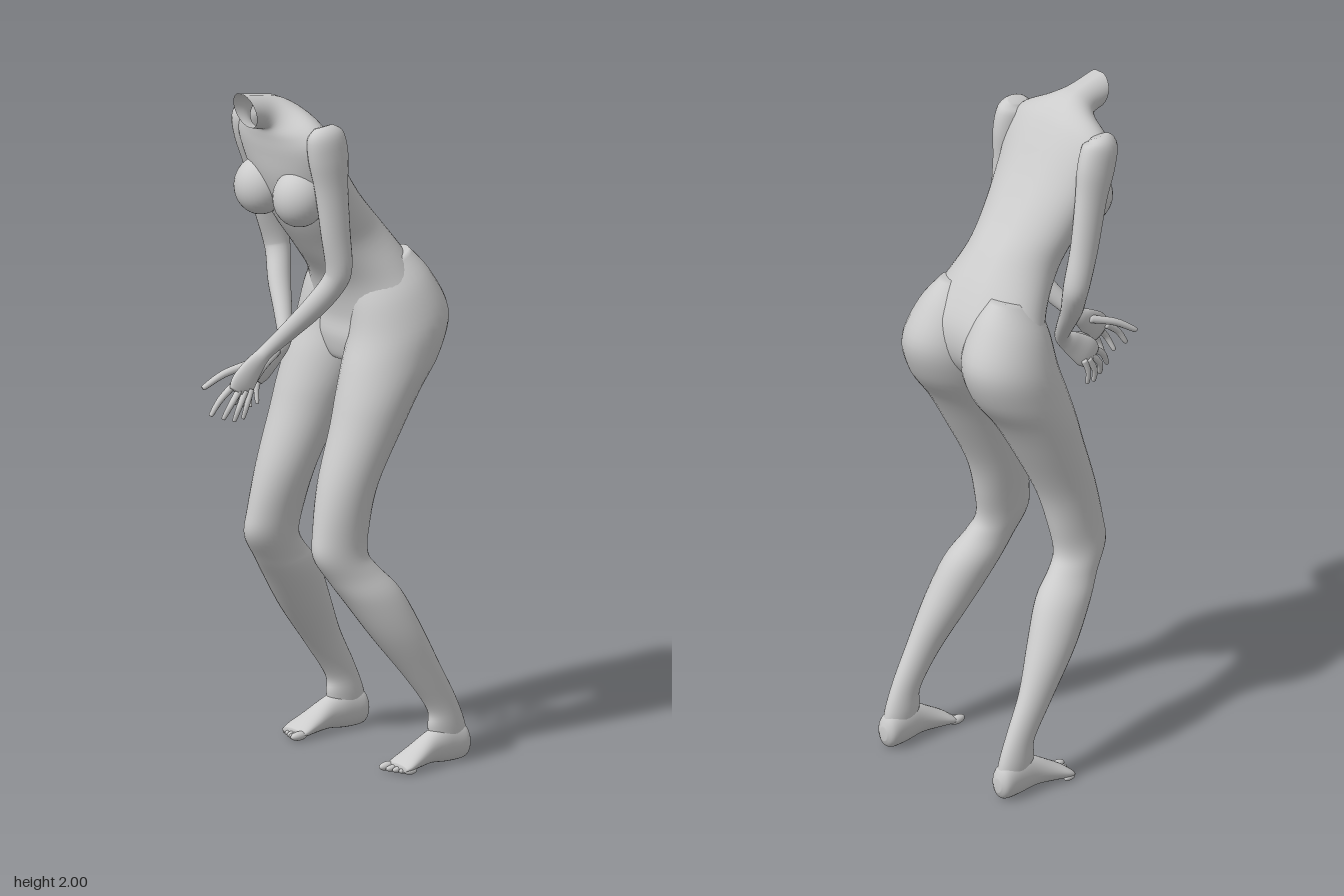
import * as THREE from 'three';

const material = new THREE.MeshStandardMaterial({ color: 0xcccccc, side: THREE.DoubleSide });
const SIDES = 32;

// Catmull-Rom interpolation of every column of a table of sections
function refine(rows, steps) {
  const out = [], n = rows.length;
  for (let i = 0; i < n - 1; i++) {
    const [a, b, c, d] = [rows[Math.max(i - 1, 0)], rows[i], rows[i + 1], rows[Math.min(i + 2, n - 1)]];
    for (let s = 0; s < steps; s++) {
      const t = s / steps;
      out.push(b.map((v, k) => v + 0.5 * t * (c[k] - a[k]
        + t * (2 * a[k] - 5 * v + 4 * c[k] - d[k] + t * (3 * (v - c[k]) + d[k] - a[k])))));
    }
  }
  out.push(rows[n - 1]);
  return out;
}

// Smooth surface through elliptical rings { c, u, v }; groove pulls in the middle of the back
function skin(name, rings, { capStart = true, groove = 0, sides = SIDES } = {}) {
  const pos = [], index = [];
  for (const { c, u, v } of rings) {
    for (let j = 0; j < sides; j++) {
      const a = (j / sides) * Math.PI * 2, cs = Math.cos(a);
      const sn = Math.sin(a) * (Math.sin(a) < 0 ? 1 - groove * Math.exp(-((cs / 0.2) ** 2)) : 1);
      pos.push(...c.clone().addScaledVector(u, cs).addScaledVector(v, sn).toArray());
    }
  }
  for (let i = 0; i < rings.length - 1; i++) {
    for (let j = 0; j < sides; j++) {
      const k = (j + 1) % sides, p = i * sides, q = p + sides;
      index.push(p + j, p + k, q + j, p + k, q + k, q + j);
    }
  }
  const last = (rings.length - 1) * sides, pole = rings.length * sides;
  pos.push(...rings[0].c.toArray(), ...rings.at(-1).c.toArray());
  for (let j = 0; j < sides; j++) {
    const k = (j + 1) % sides;
    if (capStart) index.push(pole, k, j);
    index.push(pole + 1, last + j, last + k);
  }
  const g = new THREE.BufferGeometry();
  g.setAttribute('position', new THREE.Float32BufferAttribute(pos, 3));
  g.setIndex(index);
  g.computeVertexNormals();
  const mesh = new THREE.Mesh(g, material);
  mesh.name = name;
  return mesh;
}

// Sections as [centre x, half width, front y, front z, back y, back z]
function loft(name, rows, side = 1, options) {
  return skin(name, refine(rows, 5).map(([x, w, fy, fz, by, bz]) => ({
    c: new THREE.Vector3(x * side, (fy + by) / 2, (fz + bz) / 2),
    u: new THREE.Vector3(w, 0, 0),
    v: new THREE.Vector3(0, (fy - by) / 2, (fz - bz) / 2),
  })), options);
}

// Sections as [x, y, z, half width, half depth], rings square to the path
function limb(name, rows, side, sides = 24) {
  const pts = refine(rows.map(([x, y, z, a, b]) => [x * side, y, z + armShift(y, side), a, b]), 5);
  const at = (i) => new THREE.Vector3(...pts[Math.min(Math.max(i, 0), pts.length - 1)].slice(0, 3));
  return skin(name, pts.map((p, i) => {
    const t = at(i + 1).sub(at(i - 1)).normalize();
    const u = new THREE.Vector3(1, 0, 0).addScaledVector(t, -t.x).normalize();
    const v = t.clone().cross(u);
    return { c: at(i), u: u.multiplyScalar(p[3]), v: v.multiplyScalar(p[4]) };
  }), { sides });
}

// The right arm hangs further back than the left
function armShift(y, side) {
  return side > 0 ? 0 : -0.13 * THREE.MathUtils.clamp((1.88 - y) / 0.65, 0, 1);
}

const TORSO = [
  [0, 0.05, 1.895, 0.215, 2.0, 0.245],
  [0, 0.052, 1.888, 0.19, 1.985, 0.16],
  [0, 0.08, 1.885, 0.175, 1.97, 0.105],
  [0, 0.15, 1.86, 0.168, 1.935, 0.055],
  [0, 0.185, 1.81, 0.16, 1.885, 0.015],
  [0, 0.172, 1.72, 0.14, 1.77, -0.058],
  [0, 0.152, 1.6, 0.085, 1.66, -0.14],
  [0, 0.142, 1.5, 0.015, 1.58, -0.21],
  [0, 0.175, 1.4, -0.06, 1.48, -0.285],
  [0, 0.214, 1.3, -0.088, 1.38, -0.335],
  [0, 0.215, 1.23, -0.085, 1.28, -0.325],
  [0, 0.12, 1.17, -0.1, 1.19, -0.25],
  [0, 0.04, 1.16, -0.13, 1.17, -0.2],
];

const LEG = [
  [0.1, 0.05, 1.45, -0.12, 1.49, -0.27],
  [0.106, 0.1, 1.36, -0.095, 1.42, -0.33],
  [0.118, 0.122, 1.26, -0.078, 1.31, -0.38],
  [0.124, 0.121, 1.17, -0.045, 1.2, -0.348],
  [0.131, 0.11, 1.08, -0.015, 1.1, -0.272],
  [0.135, 0.097, 1.0, 0.01, 1.0, -0.21],
  [0.138, 0.077, 0.85, 0.063, 0.84, -0.122],
  [0.147, 0.061, 0.72, 0.094, 0.72, -0.088],
  [0.155, 0.056, 0.645, 0.1, 0.645, -0.078],
  [0.167, 0.057, 0.57, 0.053, 0.6, -0.105],
  [0.183, 0.068, 0.5, 0.003, 0.53, -0.168],
  [0.205, 0.061, 0.39, -0.075, 0.42, -0.225],
  [0.223, 0.041, 0.257, -0.18, 0.3, -0.282],
  [0.228, 0.033, 0.16, -0.248, 0.19, -0.34],
  [0.228, 0.034, 0.11, -0.25, 0.1, -0.376],
  [0.228, 0.03, 0.05, -0.26, 0.04, -0.378],
];

// Heel to ball of the foot: front and back columns hold the top and the sole
const FOOT = [
  [0.228, 0.014, 0.07, -0.387, 0.03, -0.387],
  [0.228, 0.034, 0.105, -0.368, 0.005, -0.368],
  [0.228, 0.037, 0.12, -0.31, 0.002, -0.31],
  [0.23, 0.037, 0.1, -0.25, 0.008, -0.25],
  [0.233, 0.045, 0.066, -0.19, 0.004, -0.19],
  [0.235, 0.05, 0.042, -0.15, 0.002, -0.15],
  [0.235, 0.045, 0.026, -0.128, 0.004, -0.128],
];

const ARM = [
  [0.163, 1.91, 0.08, 0.018, 0.03],
  [0.17, 1.885, 0.078, 0.04, 0.058],
  [0.174, 1.82, 0.07, 0.043, 0.064],
  [0.179, 1.73, 0.063, 0.037, 0.053],
  [0.188, 1.6, 0.055, 0.034, 0.046],
  [0.19, 1.5, 0.045, 0.036, 0.04],
  [0.178, 1.45, 0.055, 0.034, 0.037],
  [0.14, 1.38, 0.095, 0.03, 0.035],
  [0.08, 1.3, 0.145, 0.024, 0.027],
  [0.037, 1.24, 0.188, 0.02, 0.022],
  [0.036, 1.205, 0.23, 0.019, 0.034],
  [0.045, 1.165, 0.275, 0.017, 0.044],
  [0.048, 1.142, 0.293, 0.011, 0.036],
];

// Base, joint and tip of each finger, thumb last
const FINGERS = [
  [[0.038, 1.165, 0.305], [0.036, 1.13, 0.35], [0.028, 1.09, 0.375]],
  [[0.05, 1.152, 0.292], [0.052, 1.115, 0.323], [0.038, 1.076, 0.338]],
  [[0.056, 1.148, 0.274], [0.058, 1.105, 0.298], [0.046, 1.066, 0.306]],
  [[0.058, 1.15, 0.255], [0.06, 1.11, 0.271], [0.05, 1.07, 0.277]],
  [[0.026, 1.215, 0.225], [-0.006, 1.19, 0.3], [-0.028, 1.155, 0.355]],
];

function ellipsoid(name, x, y, z, rx, ry, rz) {
  const mesh = new THREE.Mesh(new THREE.SphereGeometry(1, 28, 20), material);
  mesh.name = name;
  mesh.position.set(x, y, z);
  mesh.scale.set(rx, ry, rz);
  return mesh;
}

export function createModel() {
  const model = new THREE.Group();
  model.name = 'mannequin';
  model.add(loft('torso', TORSO, 1, { capStart: false, groove: 0.06, sides: 48 }));

  for (const side of [1, -1]) {
    const label = side > 0 ? 'left' : 'right';
    model.add(ellipsoid(label + 'Chest', side * 0.087, 1.69, 0.104, 0.075, 0.084, 0.078));

    // Leg, foot and toes
    model.add(loft(label + 'Leg', LEG, side), loft(label + 'Foot', FOOT, side));
    const toes = new THREE.Group();
    toes.name = label + 'Toes';
    for (let i = 0; i < 5; i++) {
      const r = i === 0 ? 0.013 : 0.0105 - i * 0.0005;
      toes.add(ellipsoid('toe', side * (0.199 + i * 0.019), r + 0.001, -0.123 - i * 0.006, r, r, 0.028 - i * 0.002));
    }
    model.add(toes);

    // Arm with palm, then the fingers
    model.add(limb(label + 'Arm', ARM, side));
    const fingers = new THREE.Group();
    fingers.name = label + 'Fingers';
    FINGERS.forEach(([base, joint, tip], i) => {
      const r = i === 4 ? 0.012 : 0.0105 - i * 0.0005;
      const end = tip.map((v, k) => v + (tip[k] - joint[k]) * 0.08);
      fingers.add(limb(i === 4 ? 'thumb' : 'finger',
        [[...base, r, r], [...joint, r * 0.9, r * 0.9], [...tip, r * 0.65, r * 0.65], [...end, 0.002, 0.002]], side, 12));
    });
    model.add(fingers);
  }
  return model;
}
